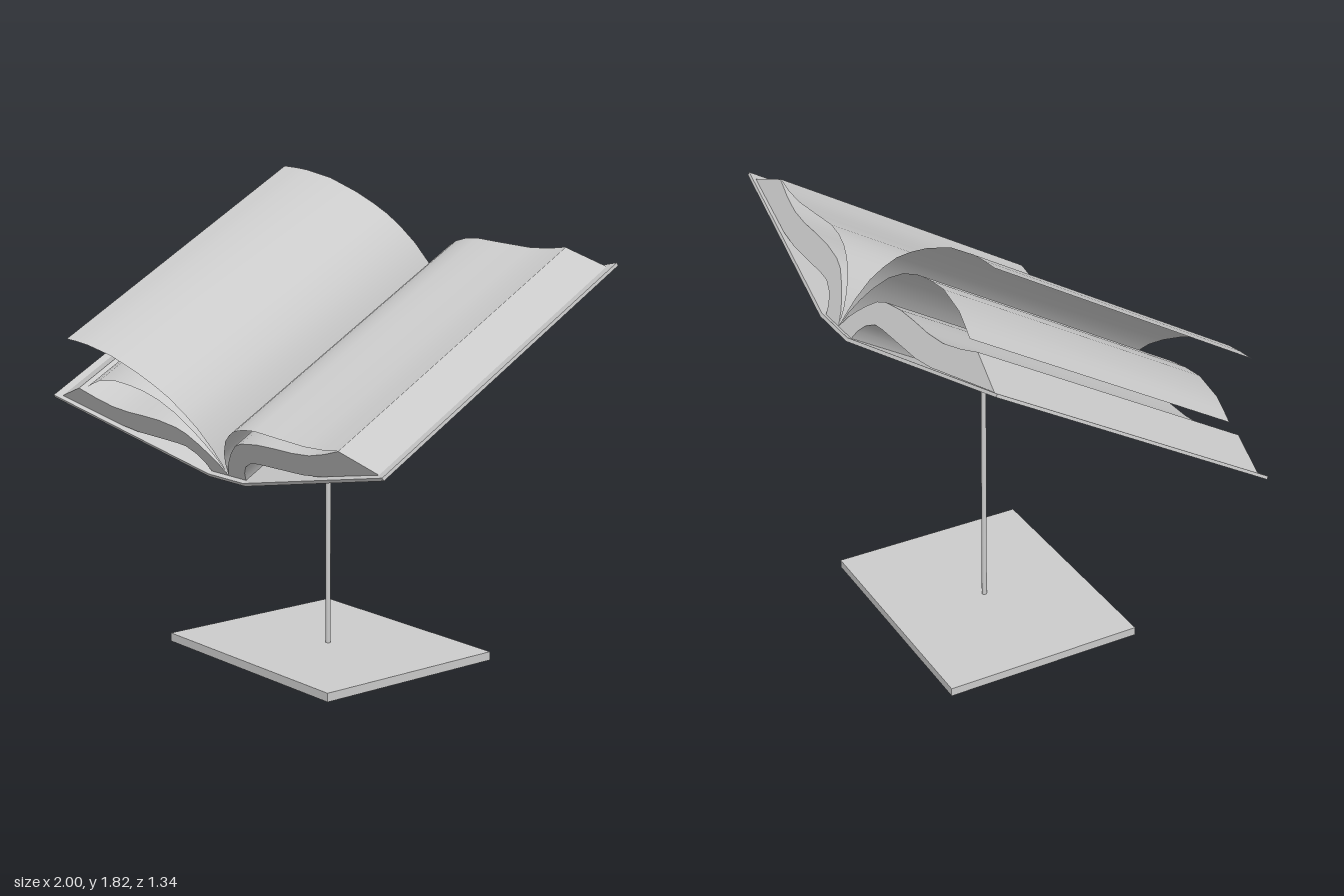
import * as THREE from 'three';
import { toCreasedNormals } from 'three/addons/utils/BufferGeometryUtils.js';

const COVER_LENGTH = 1.25;
const PAGE_LENGTH = 1.216;
const material = new THREE.MeshStandardMaterial({ color: 0xcccccc });
const sheetMaterial = new THREE.MeshStandardMaterial({ color: 0xcccccc, side: THREE.DoubleSide });

function addMesh(parent, name, geometry, mat = material) {
  const mesh = new THREE.Mesh(geometry, mat);
  mesh.name = name;
  parent.add(mesh);
  return mesh;
}

// Solid with a constant cross-section, running along z and centred on it
function prism(points, length) {
  const shape = new THREE.Shape(points.map(([x, y]) => new THREE.Vector2(x, y)));
  const geometry = new THREE.ExtrudeGeometry(shape, { depth: length, bevelEnabled: false });
  geometry.translate(0, 0, -length / 2);
  return toCreasedNormals(geometry, 0.6);
}

// Thin curled sheet following a profile, smooth across its width
function sheet(points, length) {
  const geometry = new THREE.PlaneGeometry(1, length, points.length - 1, 1);
  geometry.rotateX(-Math.PI / 2);
  const pos = geometry.attributes.position;
  for (let i = 0; i < pos.count; i++) {
    const [x, y] = points[i % points.length];
    pos.setXY(i, x, y);
  }
  geometry.computeVertexNormals();
  return geometry;
}

const mirror = (points) => points.map(([x, y]) => [-x, y]);

export function createModel() {
  const model = new THREE.Group();
  model.name = 'bookOnStand';

  // Stand
  const base = addMesh(model, 'base', new THREE.BoxGeometry(0.97, 0.033, 0.8));
  base.position.set(-0.005, 0.0165, -0.065);
  const pole = addMesh(model, 'pole', new THREE.CylinderGeometry(0.01, 0.01, 0.98, 12));
  pole.position.set(-0.005, 0.52, -0.065);

  // Open book, tilted back
  const book = new THREE.Group();
  book.name = 'book';
  book.position.set(0, 1.05, -0.123);
  book.rotation.x = Math.PI / 6;
  model.add(book);

  // Cover: flat spine with two rising boards
  addMesh(book, 'cover', toCreasedNormals(prism([
    [-1, 0.216], [-0.11, 0], [0.11, 0], [1, 0.216],
    [0.998, 0.228], [0.105, 0.013], [-0.105, 0.013], [-0.998, 0.228],
  ], COVER_LENGTH), 0.1));

  // Page blocks, arching off the cover next to the spine
  const block = [
    [0, 0.014], [0.03, 0.065], [0.06, 0.1], [0.1, 0.14], [0.15, 0.18], [0.2, 0.2],
    [0.3, 0.215], [0.4, 0.218], [0.5, 0.218], [0.6, 0.227], [0.7, 0.253], [0.79, 0.284],
    [0.96, 0.219], [0.6, 0.135], [0.5, 0.122], [0.35, 0.119], [0.25, 0.117], [0.2, 0.112],
    [0.15, 0.085], [0.12, 0.05], [0.105, 0.014],
  ];
  addMesh(book, 'leftPageBlock', prism(block, PAGE_LENGTH));
  addMesh(book, 'rightPageBlock', prism(mirror(block), PAGE_LENGTH));

  // Loose sheets lifting from the gutter
  addMesh(book, 'leftTopSheet', sheet([
    [0, 0.012], [0.02, 0.075], [0.05, 0.13], [0.1, 0.192], [0.15, 0.23], [0.2, 0.256],
    [0.26, 0.273], [0.33, 0.281], [0.45, 0.273], [0.6, 0.265], [0.7, 0.271], [0.79, 0.285],
  ], PAGE_LENGTH), sheetMaterial);
  addMesh(book, 'rightLowerSheet', sheet(mirror([
    [0, 0.012], [0.02, 0.08], [0.05, 0.143], [0.09, 0.205], [0.15, 0.274], [0.22, 0.322],
    [0.3, 0.351], [0.38, 0.364], [0.47, 0.37], [0.6, 0.348], [0.66, 0.325], [0.72, 0.3],
  ]).reverse(), PAGE_LENGTH), sheetMaterial);
  addMesh(book, 'rightTurningSheet', sheet(mirror([
    [0, 0.012], [0.008, 0.07], [0.02, 0.134], [0.05, 0.222], [0.09, 0.287], [0.14, 0.348],
    [0.2, 0.395], [0.28, 0.444], [0.4, 0.498], [0.53, 0.527], [0.6, 0.534], [0.67, 0.537],
  ]).reverse(), PAGE_LENGTH), sheetMaterial);

  return model;
}
